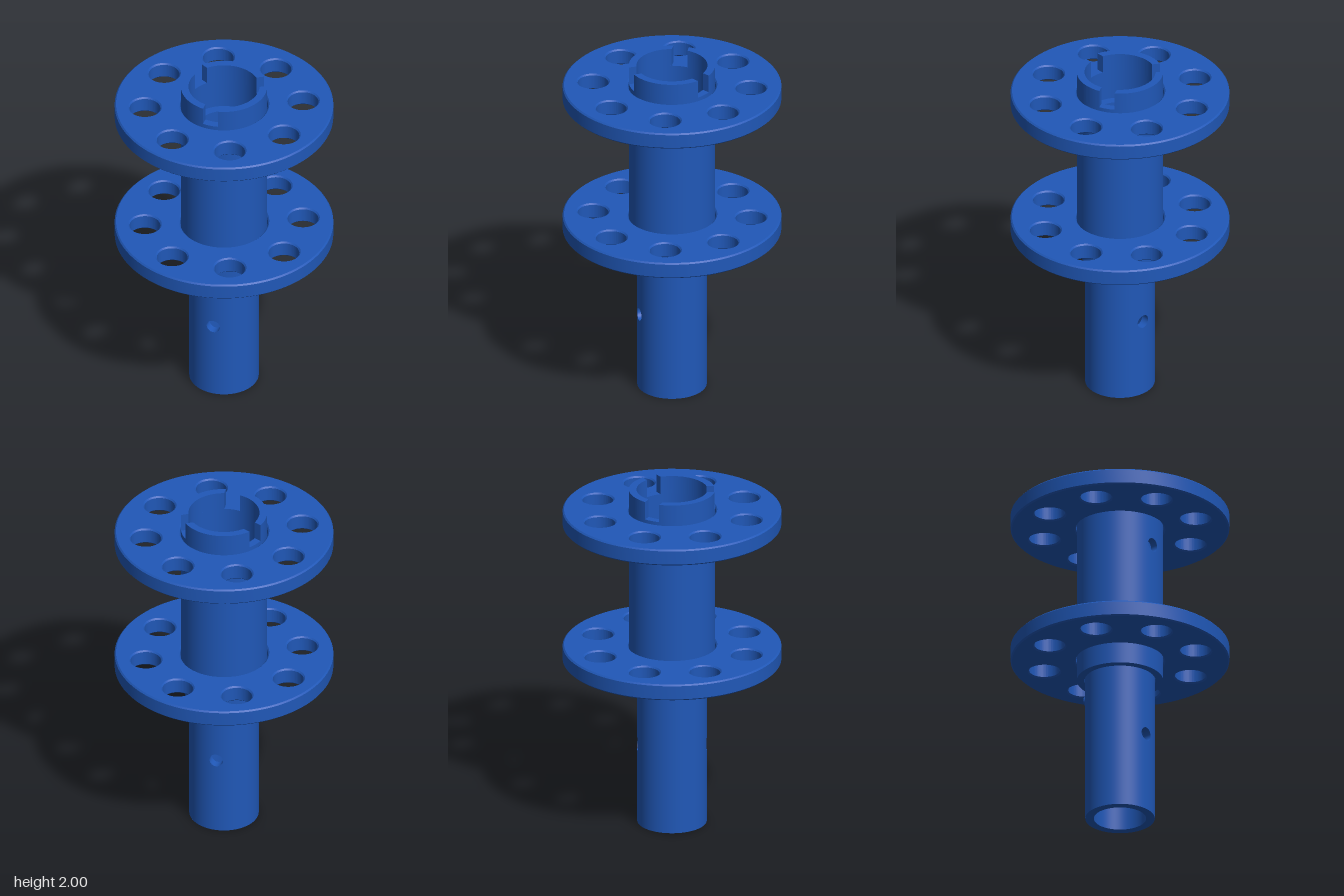
import * as THREE from 'three';
import { toCreasedNormals, mergeGeometries } from 'three/addons/utils/BufferGeometryUtils.js';

const BLUE = new THREE.MeshStandardMaterial({ color: 0x2058b8, side: THREE.DoubleSide });

function add(parent, name, geometry) {
  const mesh = new THREE.Mesh(geometry, BLUE);
  mesh.name = name;
  parent.add(mesh);
  return mesh;
}

// Flat grid bent by a rule: rule(u, v) returns [position, normal]
function bent(nu, nv, rule, flip = false) {
  const g = new THREE.PlaneGeometry(1, 1, nu, nv);
  const p = g.attributes.position, n = g.attributes.normal;
  for (let i = 0; i < p.count; i++) {
    const [pos, nor] = rule(p.getX(i) + 0.5, p.getY(i) + 0.5);
    p.setXYZ(i, ...pos);
    n.setXYZ(i, ...nor);
  }
  if (flip) g.index.array.reverse();
  return g;
}

// Hollow pipe with a round cross hole through its front and back walls
function pipe(inner, outer, y0, y1, holeY, holeR) {
  const parts = [];
  const { lerp } = THREE.MathUtils;
  for (const R of [inner, outer]) {
    const s = R === outer ? 1 : -1, half = Math.asin(holeR / R);
    const at = (t, y) => [[R * Math.sin(t), y, R * Math.cos(t)], [s * Math.sin(t), 0, s * Math.cos(t)]];
    for (const turn of [0, Math.PI]) {
      // plain side wall between the two holes
      parts.push(bent(40, 1, (u, v) => at(turn + lerp(half, Math.PI - half, u), lerp(y0, y1, v)), s < 0));
      // wall below and above the hole
      const edge = (u, v, k) => {
        const x = -holeR * Math.cos(Math.PI * u);
        const rim = holeY + k * holeR * Math.sin(Math.PI * u);
        return at(turn + Math.asin(x / R), k > 0 ? lerp(rim, y1, v) : lerp(y0, rim, v));
      };
      for (const k of [-1, 1]) parts.push(bent(24, 1, (u, v) => edge(u, v, k), s < 0));
    }
  }
  // hole linings
  for (const dir of [1, -1]) {
    parts.push(bent(48, 1, (u, v) => {
      const a = u * Math.PI * 2, x = holeR * Math.cos(a), R = lerp(inner, outer, v);
      return [[x, holeY + holeR * Math.sin(a), dir * Math.sqrt(R * R - x * x)], [-Math.cos(a), -Math.sin(a), 0]];
    }, dir > 0));
  }
  // end rings
  for (const [y, s] of [[y0, 1], [y1, -1]]) {
    parts.push(new THREE.RingGeometry(inner, outer, 96).rotateX(s * Math.PI / 2).translate(0, y, 0));
  }
  return mergeGeometries(parts);
}

// Round flange with a bore, eight holes and softly chamfered edges
function flangeGeometry(y0, y1) {
  const bevel = 0.008;
  const shape = new THREE.Shape().absarc(0, 0, 0.613, 0, Math.PI * 2);
  shape.holes.push(new THREE.Path().absarc(0, 0, 0.246, 0, Math.PI * 2));
  for (let i = 0; i < 8; i++) {
    const a = (i + 0.5) * Math.PI / 4;
    shape.holes.push(new THREE.Path().absarc(0.444 * Math.cos(a), 0.444 * Math.sin(a), 0.086, 0, Math.PI * 2));
  }
  const g = new THREE.ExtrudeGeometry(shape, {
    depth: y1 - y0 - 2 * bevel, curveSegments: 64,
    bevelThickness: bevel, bevelSize: bevel, bevelOffset: -bevel, bevelSegments: 1,
  });
  return toCreasedNormals(g.rotateX(-Math.PI / 2).translate(0, y0 + bevel, 0), 0.5);
}

// Curved tooth between two slots of the sleeve's top
function toothGeometry(inner, outer, start, end, slotHalf, y0, y1) {
  const a = Math.asin(slotHalf / outer), b = Math.asin(slotHalf / inner);
  const shape = new THREE.Shape();
  shape.absarc(0, 0, outer, start + a, end - a, false);
  shape.absarc(0, 0, inner, end - b, start + b, true);
  const g = new THREE.ExtrudeGeometry(shape, { depth: y1 - y0, bevelEnabled: false, curveSegments: 32 });
  return toCreasedNormals(g.rotateX(-Math.PI / 2).translate(0, y0, 0), 0.5);
}

export function createModel() {
  const model = new THREE.Group();
  model.name = 'spool';

  // Inner tube and its locking pin
  add(model, 'innerTube', pipe(0.147, 0.195, 0, 1.72, 0.465, 0.039));
  const pin = add(model, 'lockingPin', new THREE.CylinderGeometry(0.035, 0.035, 0.24, 40).rotateX(Math.PI / 2));
  pin.position.set(0, 0.788, -0.12);

  // Outer sleeve with three slots in its top rim
  const sleeve = new THREE.Group();
  sleeve.name = 'outerSleeve';
  model.add(sleeve);
  add(sleeve, 'sleeveBody', pipe(0.199, 0.242, 0.853, 1.895, 1.62, 0.039));
  for (let i = 0; i < 3; i++) {
    const start = -Math.PI / 2 + i * Math.PI * 2 / 3;
    add(sleeve, 'rimTooth', toothGeometry(0.199, 0.242, start, start + Math.PI * 2 / 3, 0.045, 1.895, 2));
  }

  // Flanges
  add(model, 'lowerFlange', flangeGeometry(0.97, 1.065));
  add(model, 'upperFlange', flangeGeometry(1.785, 1.88));
  return model;
}
